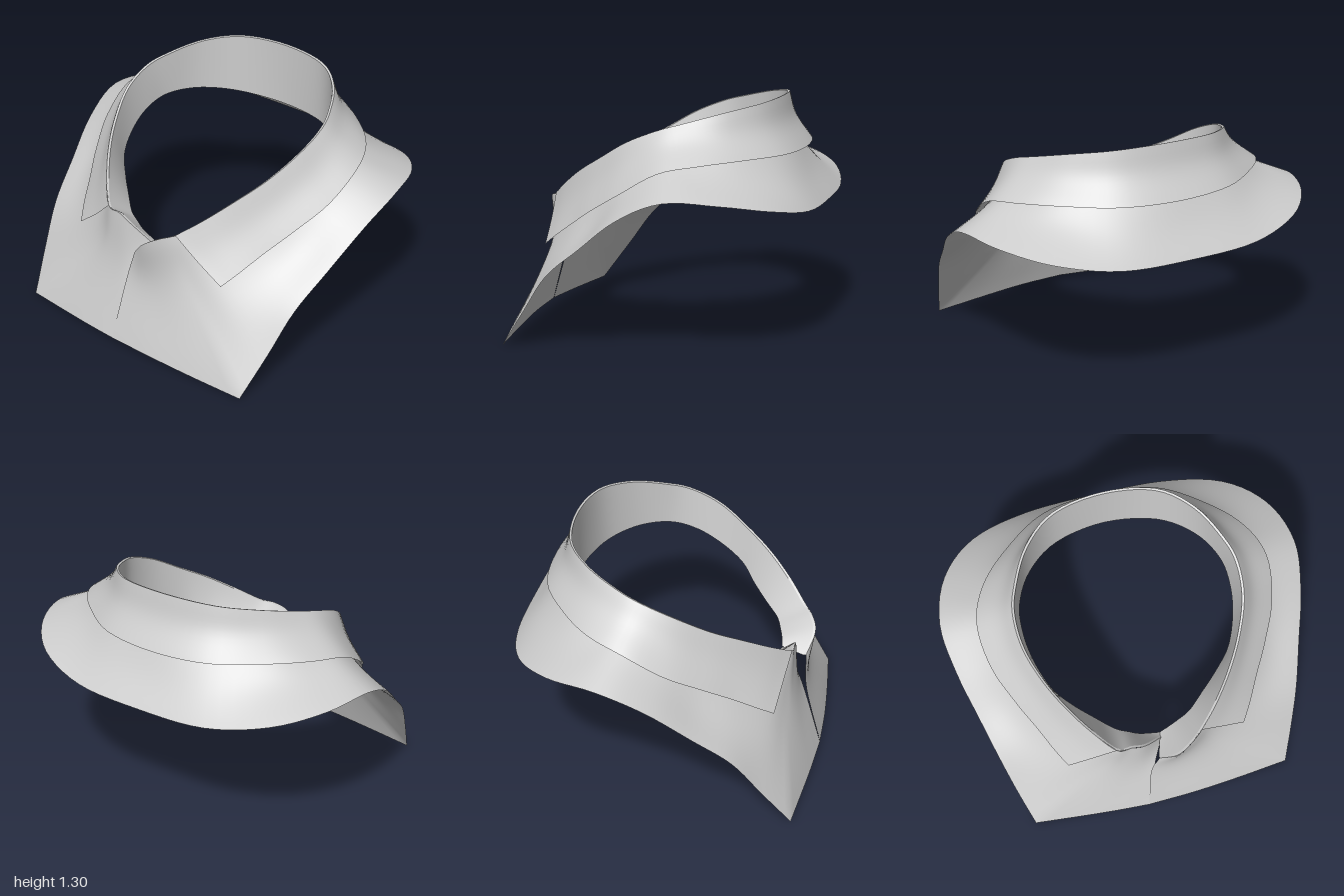
import * as THREE from 'three';

const material = new THREE.MeshStandardMaterial({ color: 0xcccccc, side: THREE.DoubleSide });
const STEPS = 5; // samples between two stations

// Join both sides into one line running right front -> back -> left front
function bothSides(shared, leftFront = [], rightFront = leftFront) {
  const right = [...shared.slice(1), ...rightFront].reverse().map(([x, y, z]) => [-x, y, z]);
  return [...right, ...shared, ...leftFront].map((p) => new THREE.Vector3(...p));
}

// Smooth line through the stations, kept sharp at the given corner indices
function sampleLine(points, corners = []) {
  const stops = [0, ...corners, points.length - 1];
  const out = [points[0]];
  for (let s = 0; s < stops.length - 1; s++) {
    const part = points.slice(stops[s], stops[s + 1] + 1);
    const curve = new THREE.CatmullRomCurve3(part, false, 'catmullrom', 0.5);
    const n = (part.length - 1) * STEPS;
    for (let i = 1; i <= n; i++) out.push(curve.getPoint(i / n));
  }
  return out;
}

// Surface through several lines of equal length
function skin(name, lines, across) {
  const pos = [], index = [];
  const count = lines[0].length, w = across + 1;
  for (let i = 0; i < count; i++) {
    const column = new THREE.CatmullRomCurve3(lines.map((l) => l[i]), false, 'catmullrom', 0.5);
    for (let j = 0; j <= across; j++) pos.push(...column.getPoint(j / across).toArray());
  }
  for (let i = 0; i < count - 1; i++) {
    for (let j = 0; j < across; j++) {
      const a = i * w + j, b = a + w;
      index.push(a, b, a + 1, b, b + 1, a + 1);
    }
  }
  const geometry = new THREE.BufferGeometry();
  geometry.setAttribute('position', new THREE.Float32BufferAttribute(pos, 3));
  geometry.setIndex(index);
  geometry.computeVertexNormals();
  const mesh = new THREE.Mesh(geometry, material);
  mesh.name = name;
  return mesh;
}

// Stations run from the centre back towards the centre front of one side
const fold = [
  [0, 1.305, -0.575], [0.28, 1.295, -0.53], [0.46, 1.265, -0.39], [0.57, 1.215, -0.2],
  [0.61, 1.175, -0.06], [0.6, 1.105, 0.11], [0.535, 1.005, 0.28], [0.445, 0.915, 0.43],
  [0.34, 0.82, 0.56], [0.235, 0.738, 0.66],
];
const fallEdge = [
  [0, 1.03, -0.7], [0.32, 1.035, -0.655], [0.57, 1.035, -0.49], [0.73, 1.025, -0.32],
  [0.805, 0.99, -0.13], [0.785, 0.87, 0.08], [0.7, 0.755, 0.27], [0.62, 0.66, 0.41],
  [0.555, 0.575, 0.53], [0.5, 0.51, 0.615],
];
const standBottom = [
  [0, 0.94, -0.565], [0.28, 0.95, -0.51], [0.46, 0.97, -0.37], [0.555, 0.97, -0.2],
  [0.575, 0.94, -0.05], [0.555, 0.88, 0.1], [0.495, 0.8, 0.25], [0.41, 0.72, 0.34],
  [0.3, 0.67, 0.435], [0.21, 0.64, 0.51], [0.14, 0.62, 0.54], [0.08, 0.6, 0.56],
];
const neck = [
  [0, 1.09, -0.61], [0.29, 1.09, -0.55], [0.51, 1.09, -0.4], [0.61, 1.07, -0.21],
  [0.63, 1.04, -0.07], [0.605, 0.98, 0.09], [0.535, 0.89, 0.26], [0.455, 0.81, 0.4],
  [0.34, 0.75, 0.53], [0.235, 0.732, 0.65],
];
const chest = [
  [0, 0.9, -0.72], [0.34, 0.915, -0.68], [0.61, 0.945, -0.52], [0.765, 0.96, -0.34],
  [0.81, 0.962, -0.15], [0.79, 0.855, 0.06], [0.73, 0.69, 0.25], [0.645, 0.57, 0.43],
  [0.5, 0.47, 0.59], [0.35, 0.43, 0.66],
];
const hem = [
  [0, 0.755, -0.83], [0.4, 0.765, -0.81], [0.72, 0.82, -0.7], [0.92, 0.872, -0.49],
  [1, 0.885, -0.22], [0.975, 0.775, 0.03], [0.915, 0.595, 0.26], [0.86, 0.43, 0.46],
  [0.81, 0.22, 0.61], [0.75, 0, 0.765],
];

// Overlapping front ends of the neckline, shared by the body and the stand
const leftThroat = [[0.16, 0.71, 0.715], [0.08, 0.66, 0.745], [-0.01, 0.56, 0.71]];
const rightThroat = [[0.155, 0.722, 0.662], [0.075, 0.68, 0.657], [-0.03, 0.57, 0.6]];

export function createModel() {
  const group = new THREE.Group();
  group.name = 'shirtCollar';

  // Shirt body around the neck, its left half lapping over the right at the opening
  const neckLine = sampleLine(bothSides(neck, leftThroat, rightThroat));
  const chestLine = sampleLine(bothSides(chest,
    [[0.22, 0.41, 0.7], [0.08, 0.385, 0.722], [-0.06, 0.37, 0.73]],
    [[0.25, 0.41, 0.69], [0.14, 0.385, 0.705], [0.035, 0.37, 0.707]]));
  const hemLine = sampleLine(bothSides(hem,
    [[0.45, 0.014, 0.798], [0.18, 0.026, 0.82], [-0.09, 0.03, 0.828]],
    [[0.45, 0.014, 0.798], [0.27, 0.022, 0.815], [0.09, 0.03, 0.828]]), [3, 21]);
  group.add(skin('shirtBody', [neckLine, chestLine, hemLine], 16));

  // Folded-down collar with pointed tips, hollowed below the fold
  const foldLine = sampleLine(bothSides(fold));
  const edgeLine = sampleLine(bothSides(fallEdge));
  const middleLine = foldLine.map((p, i) => {
    const m = p.clone().lerp(edgeLine[i], 0.5);
    m.x *= 0.97;
    if (m.z < 0) m.z *= 0.96;
    return m;
  });
  group.add(skin('collarFall', [foldLine, middleLine, edgeLine], 10));

  // Inner stand, meeting the fall along a narrow lip
  const bottomLine = sampleLine(bothSides(standBottom, [[0.03, 0.57, 0.57]], [[-0.03, 0.565, 0.57]]));
  const topLine = sampleLine(bothSides(fold, leftThroat, rightThroat));
  const innerTop = topLine.map((p) => new THREE.Vector3(p.x * 0.98, p.y - 0.004, p.z * 0.98));
  group.add(skin('collarStand', [bottomLine, innerTop], 6));
  group.add(skin('foldLip', [innerTop, topLine], 1));

  return group;
}
